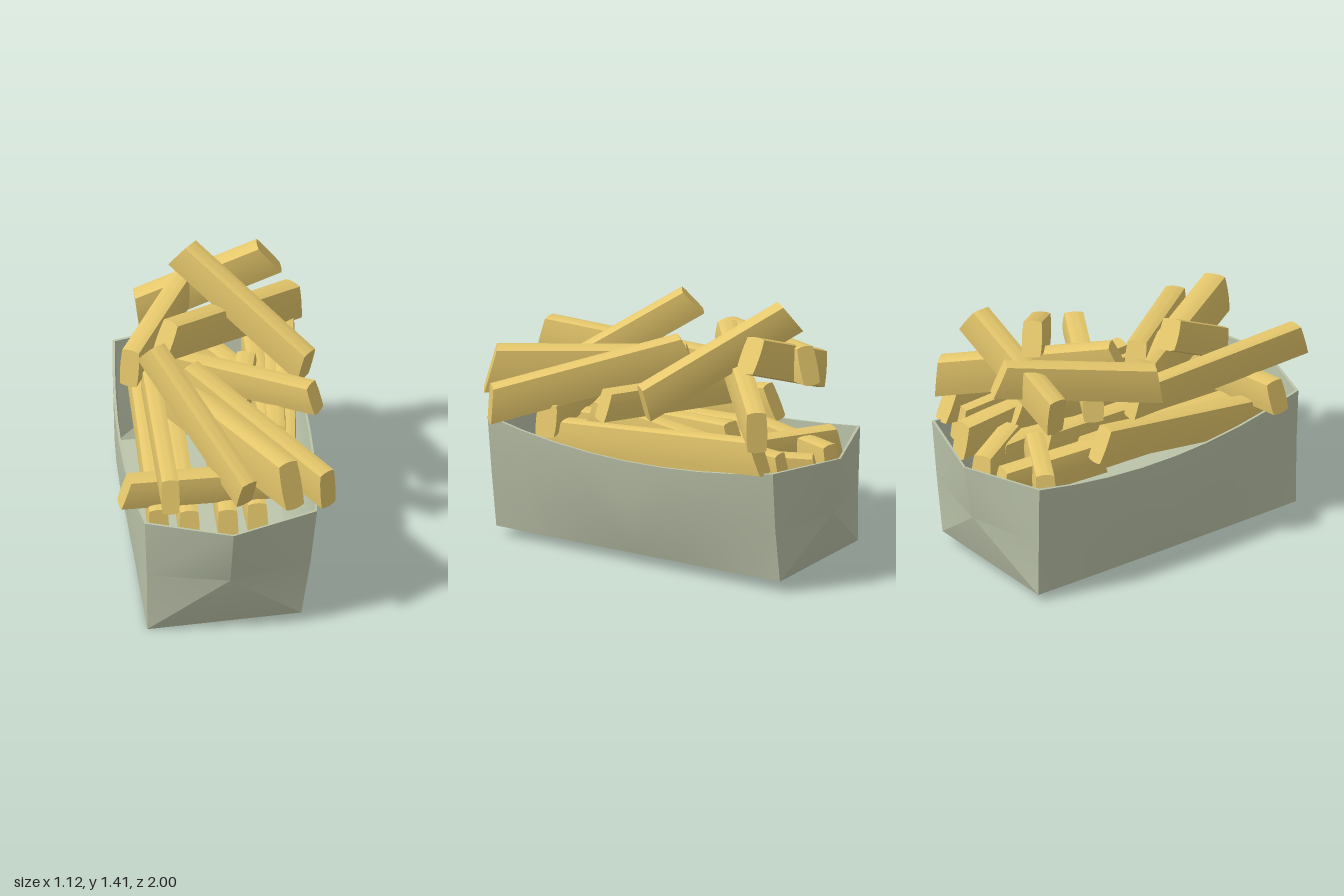
import * as THREE from 'three';
import { toCreasedNormals } from 'three/addons/utils/BufferGeometryUtils.js';

const paper = new THREE.MeshStandardMaterial({ color: 0xbcc4aa, side: THREE.DoubleSide });
const potato = new THREE.MeshStandardMaterial({ color: 0xe6c86c });

// One ring of the paper tray: pointed ends at z = +-end, corners at (+-side, +-corner),
// long sides bowed outwards by bow. height(s, z): s = side (-1, 0, 1), z = -1..1 along it.
function ring(end, side, bow, corner, height, shift = 0) {
  const pts = [];
  for (const s of [1, -1]) {
    pts.push([shift, height(0, s), s * end]);
    for (let i = 0; i <= 8; i++) {
      const t = 1 - i / 4;
      pts.push([shift + s * (side + bow * (1 - t * t)), height(s, s * t), s * corner * t]);
    }
  }
  return pts;
}

// Skin between consecutive rings; the diagonals at the ends make the gusset folds.
function skin(rings, withFloor) {
  const pos = [];
  const n = rings[0].length;
  const tri = (a, b, c) => pos.push(...a, ...b, ...c);
  for (let r = 0; r + 1 < rings.length; r++) {
    for (let i = 0; i < n; i++) {
      const j = (i + 1) % n;
      const a = rings[r][i], b = rings[r][j], c = rings[r + 1][j], d = rings[r + 1][i];
      if (Math.abs(b[0]) > Math.abs(a[0])) { tri(a, b, d); tri(b, c, d); }
      else { tri(a, b, c); tri(a, c, d); }
    }
  }
  if (withFloor) {
    const base = rings[0];
    const mid = [base[0][0], (base[0][1] + base[n / 2][1]) / 2, 0];
    for (let i = 0; i < n; i++) tri(mid, base[(i + 1) % n], base[i]);
  }
  const g = new THREE.BufferGeometry();
  g.setAttribute('position', new THREE.Float32BufferAttribute(pos, 3));
  return toCreasedNormals(g, 0.3);
}

function tray() {
  const g = new THREE.Group();
  g.name = 'paperTray';
  const baseY = (s, z) => 0.04 + 0.02 * s - z * (0.011 - 0.006 * s);
  const midY = (s) => (s === 0 ? 0.345 : 0.35 + 0.01 * s);
  const rimY = (s, z) => (s === 0 ? 0.655 : 0.675 - 0.073 * (1 - z * z) + 0.01 * s);
  // bottom, fold line and rim, inset by d for the inner layer
  const layer = (d) => [
    ring(0.85 - d, 0.4 - d, 0.005, 0.85 - d, (s, z) => baseY(s, z) + d, -0.03),
    ring(0.95 - d, 0.425 - d, 0.058, 0.85 - d, midY, -0.008),
    ring(1.0 - d, 0.448 - d, 0.05, 0.855 - d, rimY, 0.004),
  ];
  const outer = layer(0);
  const inner = layer(0.012);
  const add = (name, geo) => {
    const m = new THREE.Mesh(geo, paper);
    m.name = name;
    g.add(m);
  };
  add('trayOuter', skin(outer, true));
  add('trayInner', skin(inner, true));
  add('trayRim', skin([outer[2], inner[2]], false));
  return g;
}

// Potato stick from a to b: slightly bulging rectangular section, both ends
// cut at a slant so that the underside is longer than the top.
function fry(a, b, w = 0.105, h = 0.19, slant = 0.28) {
  const A = new THREE.Vector3(...a), B = new THREE.Vector3(...b);
  const len = A.distanceTo(B);
  const x = w / 2, y = h / 2;
  const cx = x * 0.9, cy = y * 0.92;
  const s = new THREE.Shape();
  s.moveTo(-cx, -cy);
  s.quadraticCurveTo(0, -y * 1.08, cx, -cy);
  s.quadraticCurveTo(x * 1.1, 0, cx, cy);
  s.quadraticCurveTo(0, y * 1.08, -cx, cy);
  s.quadraticCurveTo(-x * 1.1, 0, -cx, -cy);
  let geo = new THREE.ExtrudeGeometry(s, { depth: len, bevelEnabled: false, curveSegments: 5 });
  geo.translate(0, 0, -len / 2);
  const p = geo.attributes.position;
  for (let i = 0; i < p.count; i++) {
    const z = p.getZ(i);
    p.setZ(i, z - Math.sign(z) * slant * (p.getY(i) + y * 0.4));
  }
  geo = toCreasedNormals(geo, 0.9);
  const m = new THREE.Mesh(geo, potato);
  m.name = 'fry';
  m.position.copy(A).add(B).multiplyScalar(0.5);
  m.lookAt(B);
  return m;
}

export function createModel() {
  const model = new THREE.Group();
  model.name = 'trayOfFries';
  model.add(tray());

  const fries = new THREE.Group();
  fries.name = 'fries';
  const sticks = [
    // top of the pile
    [[-0.11, 1.34, -0.64], [0.495, 0.945, -0.1], 0.105, 0.19, 0.2],
    [[-0.35, 0.98, -0.66], [0.36, 1.275, -0.66], 0.11, 0.2],
    [[-0.44, 1.02, -0.05], [-0.02, 1.12, -0.8], 0.105, 0.2],
    [[-0.25, 1.11, -0.16], [0.5, 0.91, -0.79], 0.11, 0.21],
    [[-0.22, 0.87, -0.32], [0.52, 0.9, 0.13], 0.11, 0.16],
    [[-0.16, 1.01, 0.0], [0.52, 0.78, 0.81], 0.11, 0.2],
    [[-0.22, 0.895, 0.0], [0.32, 0.895, 0.93], 0.125, 0.25],
    [[-0.34, 1.22, 0.08], [0.1, 0.745, 0.76], 0.105, 0.17, 0.2],
    [[-0.32, 0.89, -0.15], [-0.32, 0.89, 0.97], 0.095, 0.18],
    [[-0.54, 0.735, 0.65], [0.38, 0.69, 0.55], 0.115, 0.17],
    // along the left side
    [[0.44, 0.76, -0.78], [0.33, 0.61, 0.48]],
    [[0.38, 0.66, -0.75], [0.29, 0.75, 0.32]],
    [[0.27, 0.63, -0.82], [0.27, 0.7, 0.3]],
    [[0.22, 0.73, -0.5], [0.05, 0.65, 0.3]],
    // lower layer
    [[-0.36, 0.74, -0.4], [-0.36, 0.56, 0.75]],
    [[-0.2, 0.6, -0.4], [-0.2, 0.54, 0.75]],
    [[0.0, 0.6, -0.5], [0.0, 0.54, 0.76]],
    [[0.12, 0.55, -0.7], [0.16, 0.53, 0.7]],
    [[-0.38, 0.58, -0.76], [0.05, 0.6, -0.5]],
    [[0.02, 0.56, -0.88], [0.22, 0.58, -0.5]],
    [[-0.13, 0.56, -0.88], [-0.25, 0.6, -0.3]],
  ];
  sticks.forEach((s) => fries.add(fry(...s)));
  model.add(fries);
  return model;
}
